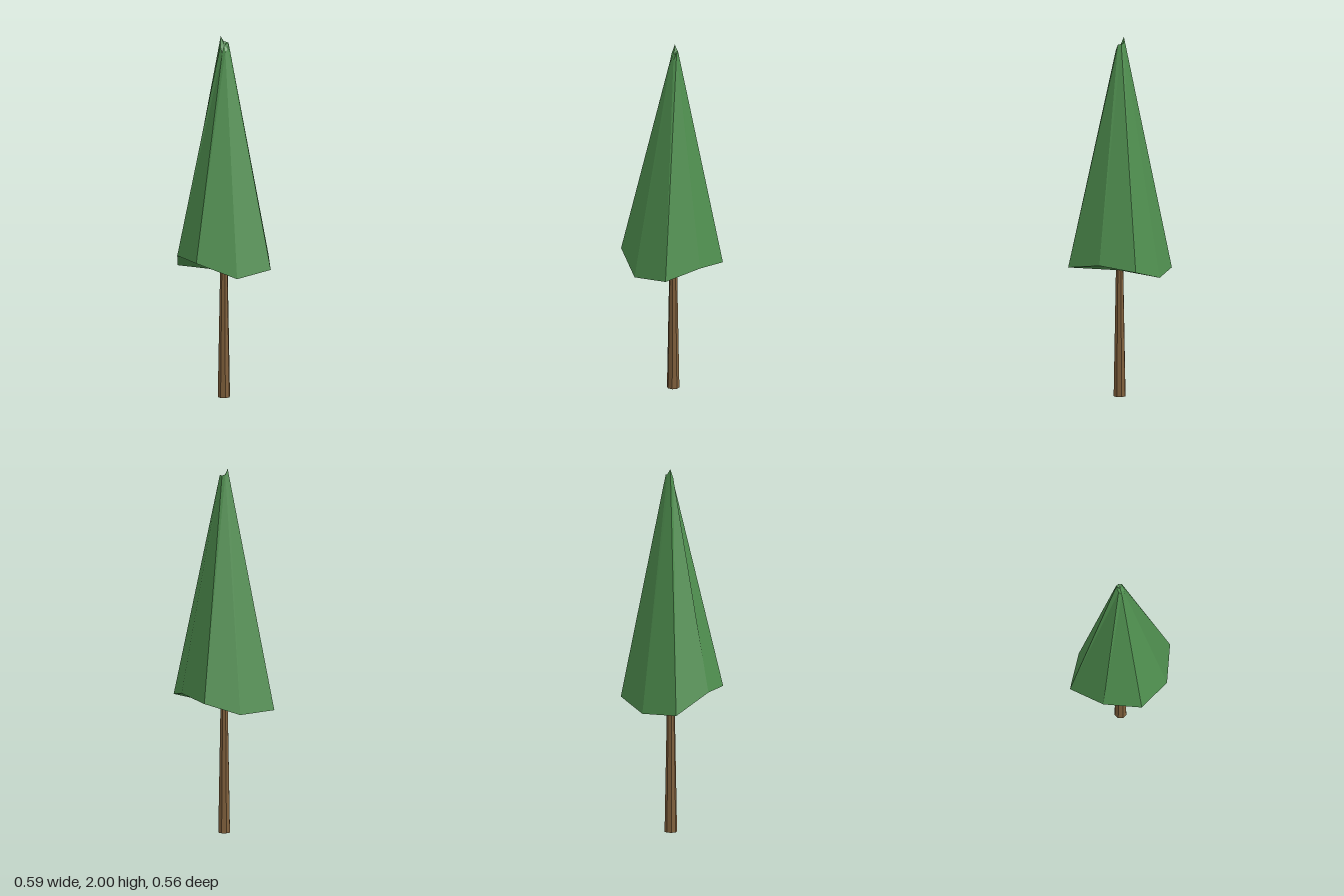
import * as THREE from 'three';

export function createModel() {
  const tree = new THREE.Group();
  tree.name = 'tree';
  const axisZ = -0.012;

  // Trunk: slim tapered post
  const bark = new THREE.MeshStandardMaterial({ color: 0x80603c, flatShading: true });
  const trunkHeight = 0.71;
  const trunk = new THREE.Mesh(new THREE.CylinderGeometry(0.021, 0.034, trunkHeight, 8), bark);
  trunk.name = 'trunk';
  trunk.position.set(0, trunkHeight / 2, axisZ + 0.004);
  tree.add(trunk);

  // Foliage: uneven eight-sided spire, rings run front -> left -> back -> right
  const rim = [
    [0, 0.797, 0.277], [0.195, 0.713, 0.173], [0.295, 0.74, -0.012], [0.175, 0.78, -0.183],
    [0, 0.75, -0.28], [-0.17, 0.685, -0.182], [-0.297, 0.693, -0.012], [-0.183, 0.797, 0.176],
  ];
  const tipHeights = [1.91, 1.92, 1.93, 1.965, 1.965, 1.97, 2.0, 1.95];
  const tip = tipHeights.map((y, i) => {
    const a = (i / 8) * Math.PI * 2;
    return [0.023 * Math.sin(a), y, axisZ - 0.001 + 0.023 * Math.cos(a)];
  });
  const rimCentre = [0, 0.7, axisZ];
  const tipCentre = [0, 1.95, axisZ];

  const corners = [];
  for (let i = 0; i < 8; i++) {
    const j = (i + 1) % 8;
    corners.push(rim[i], rim[j], tip[j], rim[i], tip[j], tip[i]); // side panel
    corners.push(rimCentre, rim[j], rim[i]);                      // underside
    corners.push(tipCentre, tip[i], tip[j]);                      // blunt tip
  }
  const geometry = new THREE.BufferGeometry();
  geometry.setAttribute('position', new THREE.Float32BufferAttribute(corners.flat(), 3));
  geometry.computeVertexNormals();
  const leaves = new THREE.MeshStandardMaterial({ color: 0x4f8f4f, flatShading: true });
  const foliage = new THREE.Mesh(geometry, leaves);
  foliage.name = 'foliage';
  tree.add(foliage);

  return tree;
}
